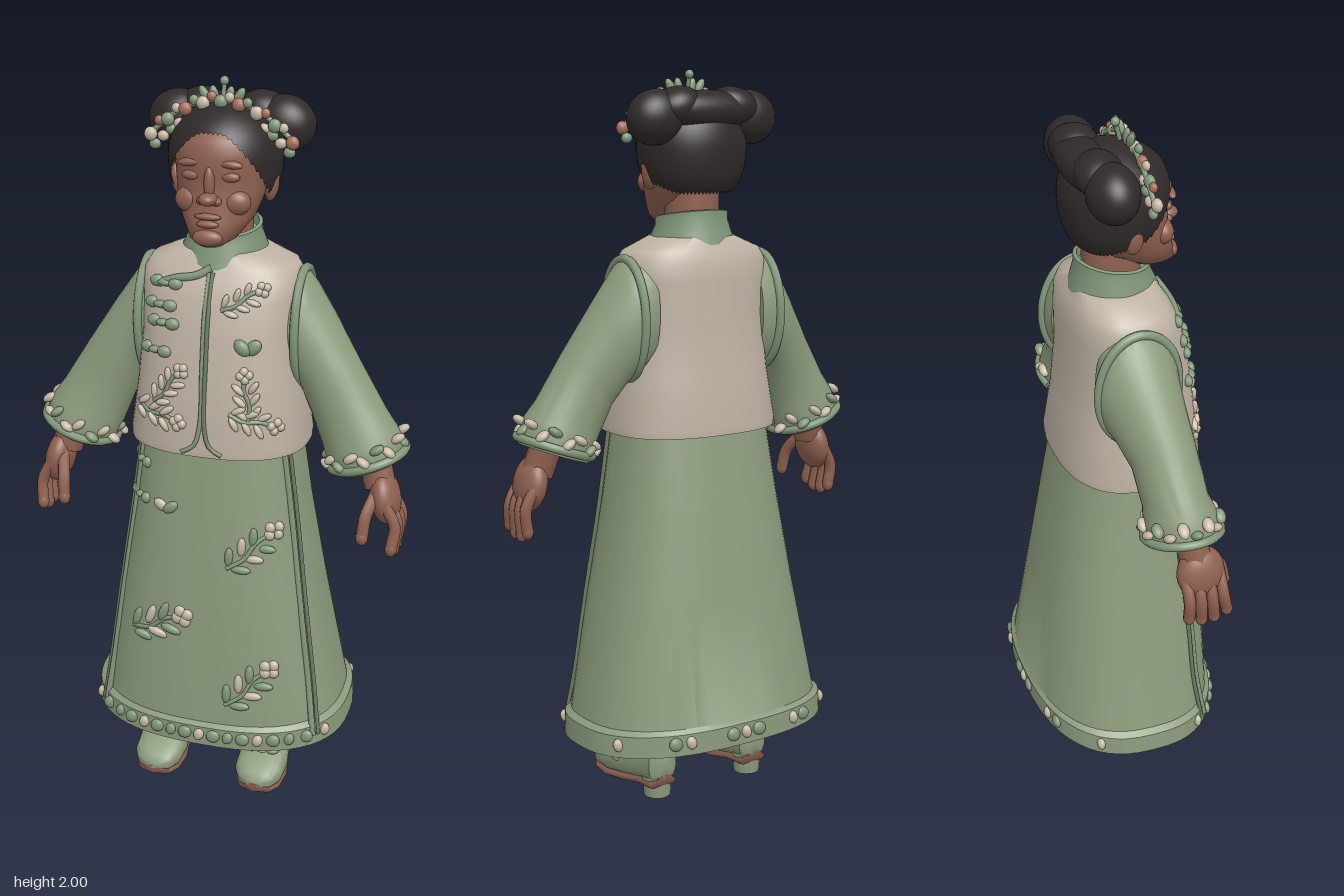
import * as THREE from 'three';
import { toCreasedNormals } from 'three/addons/utils/BufferGeometryUtils.js';

const mat = (name, color, side = THREE.FrontSide) =>
  Object.assign(new THREE.MeshStandardMaterial({ color, side }), { name });
const V = (x, y, z) => new THREE.Vector3(x, y, z);

export function createModel() {
  const root = new THREE.Group();
  root.name = 'robedFigure';
  const green = mat('sage green', 0x8c9b7c);
  const trim = mat('trim green', 0x82977a);
  const dark = mat('seam green', 0x6c7a62);
  const cream = mat('cream', 0xbfb3a3);
  const pale = mat('pale embroidery', 0xc4b9a4);
  const skin = mat('skin', 0x8f6150);
  const hairMat = mat('hair', 0x302a2a, THREE.DoubleSide);
  const coral = mat('coral', 0xa8705c);
  const sole = mat('sole brown', 0x80594d);

  const add = (name, geo, m, parent = root) => {
    const mesh = new THREE.Mesh(geo, m);
    mesh.name = name;
    parent.add(mesh);
    return mesh;
  };
  const group = (name) => {
    const g = new THREE.Group();
    g.name = name;
    root.add(g);
    return g;
  };
  const small = new THREE.SphereGeometry(1, 12, 8);
  const large = new THREE.SphereGeometry(1, 32, 22);
  const blob = (name, m, p, r, parent = root, rz = 0, geo = small) => {
    const b = add(name, geo, m, parent);
    b.position.set(...p);
    b.scale.set(...r);
    b.rotation.z = rz;
    return b;
  };
  const tube = (name, m, pts, r, parent = root, closed = false) =>
    add(name, new THREE.TubeGeometry(new THREE.CatmullRomCurve3(pts, closed), pts.length * 4, r, 8, closed), m, parent);

  // Skin a list of equal-length point rings, with both ends closed
  function loft(rings, crease = 0.8) {
    const mid = (r) => r.reduce((s, p) => s.add(p), V(0, 0, 0)).divideScalar(r.length);
    const first = mid(rings[0]), last = mid(rings[rings.length - 1]);
    const all = [rings[0].map(() => first), ...rings, rings[0].map(() => last)];
    const n = rings[0].length, pos = [], idx = [];
    all.forEach((r) => r.forEach((p) => pos.push(p.x, p.y, p.z)));
    for (let i = 0; i < all.length - 1; i++) for (let j = 0; j < n; j++) {
      const a = i * n + j, b = i * n + (j + 1) % n;
      idx.push(a, b, a + n, b, b + n, a + n);
    }
    const g = new THREE.BufferGeometry();
    g.setAttribute('position', new THREE.Float32BufferAttribute(pos, 3));
    g.setIndex(idx);
    return toCreasedNormals(g, crease);
  }
  const angles = (n) => Array.from({ length: n }, (_, i) => i / n * Math.PI * 2);
  const pw = (v, e) => Math.sign(v) * Math.abs(v) ** e;
  // Horizontal section: [height, half width, front z, back z]
  const section = ([y, rx, f, b, tilt = 0], n) => angles(56).map((t) => {
    const z = (f + b) / 2 + (f - b) / 2 * pw(Math.cos(t), 2 / n);
    return V(rx * pw(Math.sin(t), 2 / n), y + tilt * z, z);
  });
  const body = (name, m, rows, n, crease) => add(name, loft(rows.map((r) => section(r, n)), crease), m);
  // Point on the front (or back) of a body
  const surface = (rows, n) => (x, y, side = 1) => {
    let i = 0;
    while (i < rows.length - 2 && y > rows[i + 1][0]) i++;
    const a = rows[i], b = rows[i + 1], t = THREE.MathUtils.clamp((y - a[0]) / (b[0] - a[0]), 0, 1);
    const [, rx, f, k] = a.map((v, q) => v + (b[q] - v) * t);
    const d = Math.max(0, 1 - Math.min(1, Math.abs(x / rx)) ** n) ** (1 / n);
    return V(x, y, (f + k) / 2 + side * (f - k) / 2 * d);
  };

  // Skirt with a wider hem band
  const skirtRows = [[0.2, 0.355, 0.25, -0.25, -0.06], [0.18, 0.376, 0.27, -0.272, -0.06], [0.24, 0.372, 0.272, -0.272, -0.06],
    [0.252, 0.354, 0.262, -0.262, -0.06], [0.6, 0.287, 0.243, -0.215, 0], [0.85, 0.243, 0.215, -0.178, 0], [1.08, 0.212, 0.19, -0.14, 0]];
  body('skirt', green, skirtRows, 2.5, 0.6);
  const onSkirt = surface(skirtRows.slice(1), 2.5);
  for (const s of [-1, 1]) {
    const seam = [0.2, 0.35, 0.5, 0.65, 0.8, 0.95, 1.05].map((y) =>
      onSkirt(s * (0.31 - 0.115 * (y - 0.2) / 0.85), y));
    tube('panelEdge', trim, seam, 0.009);
    tube('panelSeam', dark, seam.map((p) => V(p.x + s * 0.013, p.y, p.z - 0.012)), 0.006);
  }

  // Waistcoat, collar and neck
  const vestRows = [[1.045, 0.235, 0.215, -0.145], [1.04, 0.245, 0.23, -0.16], [1.06, 0.246, 0.231, -0.161], [1.2, 0.225, 0.215, -0.14],
    [1.35, 0.21, 0.195, -0.127], [1.45, 0.213, 0.172, -0.127], [1.5, 0.213, 0.15, -0.122], [1.53, 0.195, 0.13, -0.112], [1.565, 0.11, 0.11, -0.095]];
  body('waistcoat', cream, vestRows, 2.5, 0.9);
  const onVest = surface(vestRows.slice(2), 2.5);
  body('collar', trim, [[1.53, 0.12, 0.135, -0.105, -0.15], [1.555, 0.117, 0.132, -0.1, -0.15], [1.6, 0.098, 0.11, -0.09, -0.15],
    [1.622, 0.098, 0.108, -0.09, -0.15], [1.625, 0.088, 0.1, -0.08, -0.15], [1.6, 0.085, 0.097, -0.077, -0.15]], 2);
  body('neck', skin, [[1.55, 0.075, 0.085, -0.07], [1.7, 0.07, 0.08, -0.07]], 2);
  for (const s of [-1, 1]) {
    const edge = [[0.055, 1.05], [0.022, 1.07], [0.007, 1.12], [0.005, 1.3], [0.005, 1.42], [0.005, 1.52]];
    tube('openingEdge', s < 0 ? trim : dark, edge.map(([x, y]) => onVest(s * x, y)), 0.006);
  }
  tube('slantedClosure', trim, [[0, 1.53], [-0.04, 1.51], [-0.09, 1.5], [-0.14, 1.48]].map(([x, y]) => onVest(x, y)), 0.011);

  // Sleeves: [top x, top y, under x, under y, z centre, z radius]
  const sleeveRows = [[0.16, 1.52, 0.17, 1.2, 0, 0.1], [0.215, 1.512, 0.215, 1.19, 0, 0.11], [0.245, 1.475, 0.22, 1.185, 0, 0.107],
    [0.3, 1.395, 0.228, 1.17, 0.01, 0.098], [0.38, 1.27, 0.255, 1.12, 0.03, 0.086], [0.455, 1.15, 0.285, 1.045, 0.04, 0.085],
    [0.485, 1.11, 0.295, 1.02, 0.045, 0.095], [0.51, 1.055, 0.31, 0.985, 0.045, 0.1], [0.505, 1.035, 0.32, 0.97, 0.045, 0.096], [0.47, 1.04, 0.35, 1.0, 0.045, 0.06]];
  const sleeveRing = ([ax, ay, bx, by, cz, rz], s, n = 32, k = 1) => angles(n).map((t) => V(
    s * ((ax + bx) / 2 + k * Math.cos(t) * (ax - bx) / 2), (ay + by) / 2 + k * Math.cos(t) * (ay - by) / 2, cz + k * s * Math.sin(t) * rz));
  for (const s of [-1, 1]) {
    const arm = group(s > 0 ? 'leftArm' : 'rightArm');
    add('sleeve', loft(sleeveRows.map((r) => sleeveRing(r, s))), green, arm);
    tube('armholeTrim', trim, sleeveRing(sleeveRows[1], s, 20), 0.012, arm, true);
    tube('cuffRim', trim, sleeveRing(sleeveRows[7], s, 16), 0.012, arm, true);
    const cuffRow = sleeveRows[6].map((v, i) => (v + sleeveRows[7][i]) / 2);
    sleeveRing(cuffRow, s, 18, 1.02).forEach((p, i) =>
      blob('cuffPetal', i % 3 ? pale : trim, [p.x, p.y + (i % 2 ? 0.014 : -0.008), p.z], [0.022, 0.012, 0.016], arm, i % 2 ? 0.6 : -0.6));
    // Hand with four fingers and a thumb
    tube('wrist', skin, [V(s * 0.42, 1.05, 0.05), V(s * 0.45, 0.95, 0.07)], 0.045, arm);
    blob('palm', skin, [s * 0.468, 0.92, 0.075], [0.04, 0.075, 0.066], arm, s * 0.2, large);
    for (let i = 0; i < 4; i++) {
      const z = 0.028 + i * 0.032, tip = 0.8 - 0.014 * (i === 1 || i === 2);
      const pts = [V(s * 0.475, 0.92, z), V(s * 0.505, 0.86, z + 0.003), V(s * 0.5, tip, z + 0.005 + i * 0.004)];
      tube('finger', skin, pts, 0.0165, arm);
      blob('fingertip', skin, pts[2].toArray(), [0.0165, 0.022, 0.0165], arm);
    }
    tube('thumb', skin, [V(s * 0.45, 0.95, 0.1), V(s * 0.43, 0.89, 0.15), V(s * 0.425, 0.835, 0.165)], 0.017, arm);
    blob('thumbTip', skin, [s * 0.425, 0.835, 0.165], [0.017, 0.022, 0.017], arm);
  }

  // Shoes and ankles: shoe sections are [z, half width, bottom, top]
  const shoeRows = [[-0.095, 0.025, 0.06, 0.14], [-0.08, 0.045, 0.045, 0.16], [-0.02, 0.05, 0.04, 0.132], [0.06, 0.06, 0.022, 0.118],
    [0.13, 0.072, 0.01, 0.105], [0.19, 0.068, 0.01, 0.082], [0.22, 0.05, 0.014, 0.062], [0.236, 0.02, 0.025, 0.045]];
  for (const s of [-1, 1]) {
    const foot = group(s > 0 ? 'leftFoot' : 'rightFoot');
    const shell = (rows) => loft(rows.map(([z, w, lo, hi]) => angles(28).map((t) =>
      V(s * 0.153 - w * pw(Math.sin(t), 0.75), (lo + hi) / 2 + (hi - lo) / 2 * pw(Math.cos(t), 0.75), z))));
    add('shoe', shell(shoeRows), green, foot);
    add('shoeSole', shell(shoeRows.map(([z, w, lo]) => [z, w * 0.96, Math.max(0, lo - 0.015), lo + 0.012])), sole, foot);
    const heel = add('heel', new THREE.CylinderGeometry(0.043, 0.038, 0.06, 20), green, foot);
    heel.position.set(s * 0.153, 0.031, -0.05);
    const heelTip = add('heelTip', new THREE.CylinderGeometry(0.036, 0.036, 0.006, 20), sole, foot);
    heelTip.position.set(s * 0.153, 0.003, -0.05);
    const ankle = add('ankle', new THREE.CylinderGeometry(0.055, 0.043, 0.2, 20), skin, foot);
    ankle.position.set(s * 0.15, 0.2, -0.02);
    blob('instep', skin, [s * 0.153, 0.115, 0.03], [0.043, 0.035, 0.07], foot, 0, large);
    tube('shoeStrap', trim, [[-0.062, 0.07], [-0.04, 0.115], [0, 0.13], [0.04, 0.115], [0.062, 0.07]].map(([x, y]) => V(s * 0.153 + x, y, 0.075)), 0.011, foot);
    for (const x of [-0.03, 0, 0.03]) blob('shoeFlower', x ? trim : pale, [s * 0.153 + x, 0.1, 0.145], [0.02, 0.012, 0.02], foot);
  }

  // Head and face
  const head = group('head');
  head.add(body('face', skin, [[1.595, 0.03, 0.165, 0.09], [1.612, 0.06, 0.178, 0.04], [1.66, 0.095, 0.163, -0.04], [1.72, 0.115, 0.152, -0.08],
    [1.77, 0.122, 0.147, -0.1], [1.82, 0.123, 0.158, -0.1], [1.86, 0.115, 0.14, -0.09], [1.9, 0.08, 0.1, -0.06]], 2.1, 1.6));
  blob('nose', skin, [0, 1.718, 0.158], [0.024, 0.017, 0.03], head, 0, large);
  blob('noseBridge', skin, [0, 1.755, 0.148], [0.014, 0.045, 0.016], head, 0, large);
  blob('upperLip', skin, [0, 1.674, 0.163], [0.036, 0.009, 0.012], head);
  blob('lowerLip', skin, [0, 1.655, 0.165], [0.03, 0.01, 0.012], head);
  blob('chin', skin, [0, 1.62, 0.165], [0.04, 0.022, 0.02], head, 0, large);
  for (const s of [-1, 1]) {
    blob('eyelid', skin, [s * 0.05, 1.772, 0.134], [0.026, 0.013, 0.013], head, 0, large);
    blob('brow', skin, [s * 0.052, 1.806, 0.14], [0.034, 0.011, 0.014], head, -s * 0.1, large);
    blob('cheek', skin, [s * 0.06, 1.705, 0.118], [0.04, 0.034, 0.03], head, 0, large);
    blob('nostril', skin, [s * 0.02, 1.712, 0.15], [0.013, 0.012, 0.016], head);
    blob('ear', skin, [s * 0.127, 1.73, 0.018], [0.018, 0.042, 0.024], head, -s * 0.15, large);
  }

  // Hair cap: a sphere whose lower edge follows the hairline
  const cap = new THREE.SphereGeometry(1, 64, 24);
  const cp = cap.attributes.position, uv = cap.attributes.uv;
  for (let i = 0; i < cp.count; i++) {
    const t = (uv.getX(i) - 0.75) * Math.PI * 2, a = Math.abs(Math.atan2(Math.sin(t), Math.cos(t)));
    const low = 1.0 + 1.35 * THREE.MathUtils.smoothstep(a, 0.15, 1.5) + 0.3 * THREE.MathUtils.smoothstep(a, 1.5, 2.4);
    const phi = (1 - uv.getY(i)) * low, c = Math.cos(phi), r = phi > Math.PI / 2 ? Math.sin(phi) ** 0.5 : Math.sin(phi);
    const z = Math.cos(t);
    cp.setXYZ(i, Math.sin(t) * r * 0.15, 1.8 + 0.14 * c, z * r * (z > 0 ? 0.163 : 0.127));
  }
  cap.computeVertexNormals();
  add('hairCap', cap, hairMat, head);
  blob('hairRoll', hairMat, [0, 1.895, -0.065], [0.16, 0.052, 0.062], head, 0, large);
  for (const s of [-1, 1]) {
    blob('sideBun', hairMat, [s * 0.145, 1.877, -0.045], [0.08, 0.072, 0.066], head, -s * 0.25, large);
    blob('bunShoulder', hairMat, [s * 0.09, 1.905, -0.058], [0.07, 0.05, 0.062], head, -s * 0.3, large);
  }

  // Beaded headdress
  const crown = group('headdress');
  const arc = (x) => V(x, 1.945 - 2.6 * x * x, 0.045);
  tube('headband', trim, [-0.19, -0.12, -0.05, 0, 0.05, 0.12, 0.19].map(arc), 0.007, crown);
  for (let i = -8; i <= 8; i++) {
    const p = arc(i * 0.0235), m = [trim, pale, coral][(i + 9) % 3], r = i % 2 ? 0.013 : 0.018;
    blob('bead', m, [p.x, p.y + (i % 2 ? 0.01 : -0.004), p.z + 0.006], [r, r, r * 0.8], crown);
    if (Math.abs(i) > 4) blob('sideBlossom', i % 2 ? pale : trim, [p.x * 0.95, p.y - 0.03, p.z], [0.016, 0.014, 0.012], crown);
  }
  for (const x of [-0.045, -0.02, 0.02, 0.045]) blob('crownLeaf', trim, [x, 1.955, 0.04], [0.012, 0.025, 0.01], crown, -x * 12);
  tube('finialStem', trim, [V(0, 1.94, 0.03), V(0, 1.99, 0.018)], 0.006, crown);
  blob('finialBead', trim, [0, 1.988, 0.018], [0.012, 0.012, 0.012], crown);

  // Embroidery: stem, paired leaves and a blossom, laid on a surface
  const emb = group('embroidery');
  function sprig(on, x, y, angle, k, leaf, bloom) {
    const c = Math.cos(angle), s = Math.sin(angle);
    const at = (u, v) => on(x + k * (u * c - v * s), y + k * (u * s + v * c));
    tube('stem', trim, [-0.9, -0.3, 0.3, 0.9].map((u) => at(u, 0.08 * Math.sin(u * 4))), 0.006, emb);
    [-0.6, -0.1, 0.35].forEach((u, i) => [-1, 1].forEach((d) =>
      blob('leaf', (i + d) % 2 ? leaf : bloom, at(u, d * 0.27).toArray(), [k * 0.32, k * 0.13, 0.011], emb, angle + d * 0.75)));
    for (const q of angles(4)) blob('petal', bloom, at(0.85 + 0.16 * Math.cos(q), 0.16 * Math.sin(q)).toArray(), [k * 0.17, k * 0.17, 0.012], emb);
  }
  [[0.13, 0.77, 0.75, 0.09], [-0.13, 0.52, 0.45, 0.1], [0.135, 0.36, 0.8, 0.095]].forEach((a) => sprig(onSkirt, ...a, trim, pale));
  [[0.09, 1.46, 0.5, 0.065], [0.115, 1.21, 1.7, 0.07], [0.13, 1.145, -0.3, 0.07], [-0.1, 1.22, 0.9, 0.07], [-0.13, 1.14, -0.2, 0.075]]
    .forEach((a) => sprig(onVest, ...a, pale, pale));
  const toggle = (on, x, y, w) => [-1, 0, 1].forEach((d) =>
    blob('toggle', trim, on(x + d * w, y).toArray(), [w * 0.75, d ? 0.016 : 0.01, 0.014], emb));
  [[-0.12, 1.485], [-0.13, 1.43], [-0.12, 1.385], [-0.14, 1.31]].forEach(([x, y]) => toggle(onVest, x, y, 0.028));
  [0.97, 0.87].forEach((y) => toggle(onSkirt, -0.2, y, 0.022));
  for (const s of [-1, 1]) {
    blob('heartLobe', trim, onVest(0.112 + s * 0.014, 1.342).toArray(), [0.026, 0.018, 0.014], emb, s * 0.8);
    blob('butterflyWing', s < 0 ? pale : trim, onSkirt(-0.11 + s * 0.014, 0.868).toArray(), [0.026, 0.015, 0.011], emb, s * 0.6);
  }
  // Hem ornaments, front and back
  for (const side of [1, -1]) for (let i = -8; i <= 8; i++) {
    if (side < 0 && Math.abs(i) % 4 > 1) continue;
    const p = onSkirt(i * 0.042, 0.215, side);
    blob('hemOrnament', i % 4 === 0 ? pale : trim, [p.x, p.y - 0.06 * p.z, p.z], [i % 2 ? 0.021 : 0.015, 0.019, 0.012], emb, i % 2 ? 0.5 : -0.3);
  }
  return root;
}
